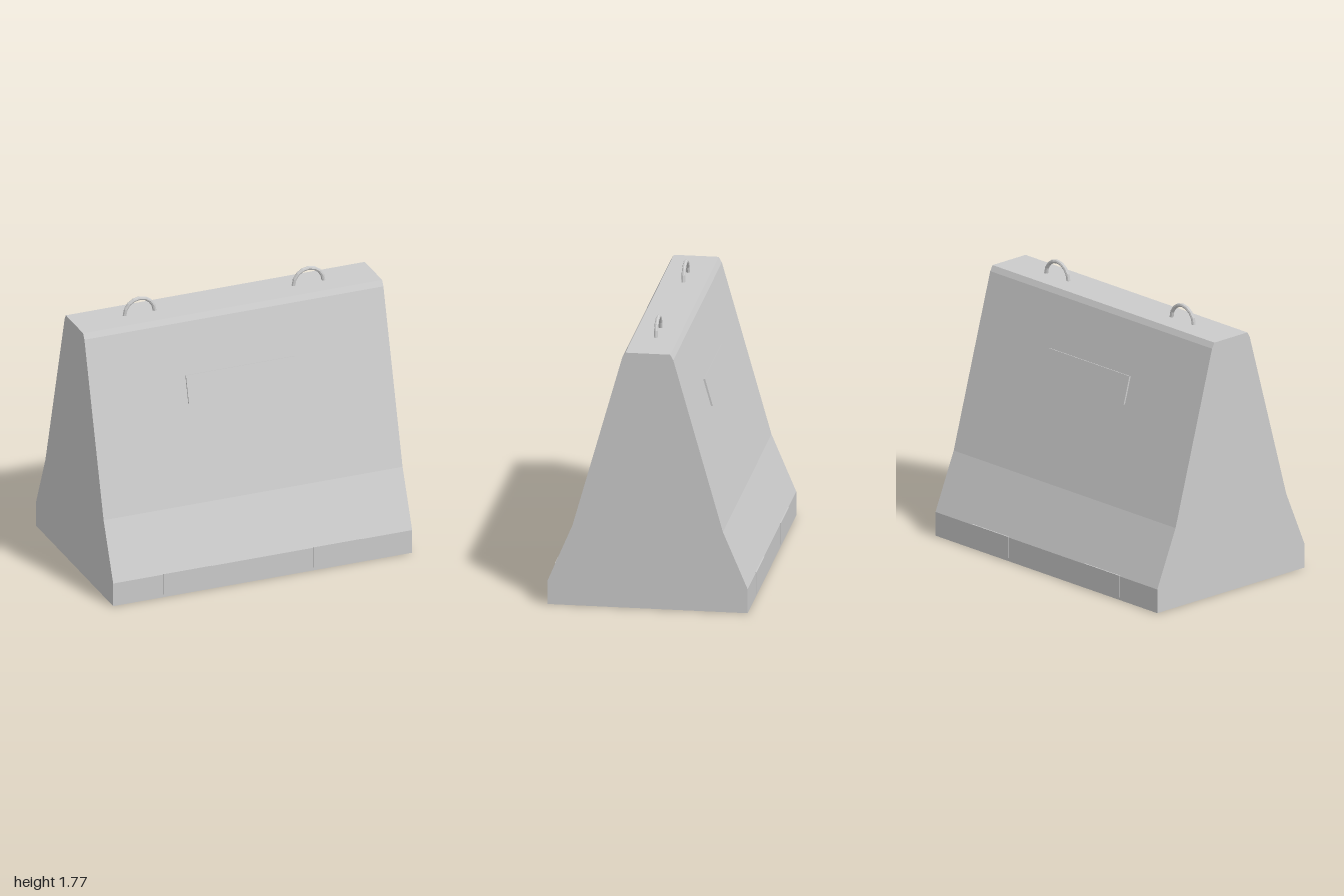
import * as THREE from 'three';

const material = new THREE.MeshStandardMaterial({ color: 0xcccccc, flatShading: true });

// Right half of the symmetric cross-section: [z, y]
const half = [[0.625, 0], [0.625, 0.155], [0.47, 0.52], [0.16, 1.62], [0.14, 1.655]];

function part(name, geometry, parent) {
  const mesh = new THREE.Mesh(geometry, material);
  mesh.name = name;
  parent.add(mesh);
  return mesh;
}

export function createModel() {
  const group = new THREE.Group();
  group.name = 'concreteBarrier';

  // Tapered barrier body, extruded along x
  const outline = [...half, ...half.map(([z, y]) => [-z, y]).reverse()];
  const shape = new THREE.Shape(outline.map(([z, y]) => new THREE.Vector2(z, y)));
  const bodyGeometry = new THREE.ExtrudeGeometry(shape, { depth: 2, bevelEnabled: false });
  bodyGeometry.translate(0, 0, -1).rotateY(-Math.PI / 2);
  part('body', bodyGeometry, group);

  // Raised panels on both sloping faces and pads along both bottom edges
  const lean = Math.atan2(0.47 - 0.16, 1.62 - 0.52);
  for (const side of [1, -1]) {
    const panel = part('sidePanel', new THREE.BoxGeometry(0.725, 0.18, 0.02), group);
    panel.position.set(0, 1.213, side * 0.276);
    panel.rotation.x = -side * lean;

    for (const x of [-0.503, 0.503]) {
      const pad = part('basePad', new THREE.BoxGeometry(0.325, 0.14, 0.01), group);
      pad.position.set(x, 0.09, side * 0.625);
    }
  }

  // Lifting loops on the top
  for (const x of [-0.565, 0.565]) {
    const loop = part('liftingLoop', new THREE.TorusGeometry(0.1, 0.0125, 8, 8, Math.PI), group);
    loop.position.set(x, 1.655, 0);
  }

  return group;
}
